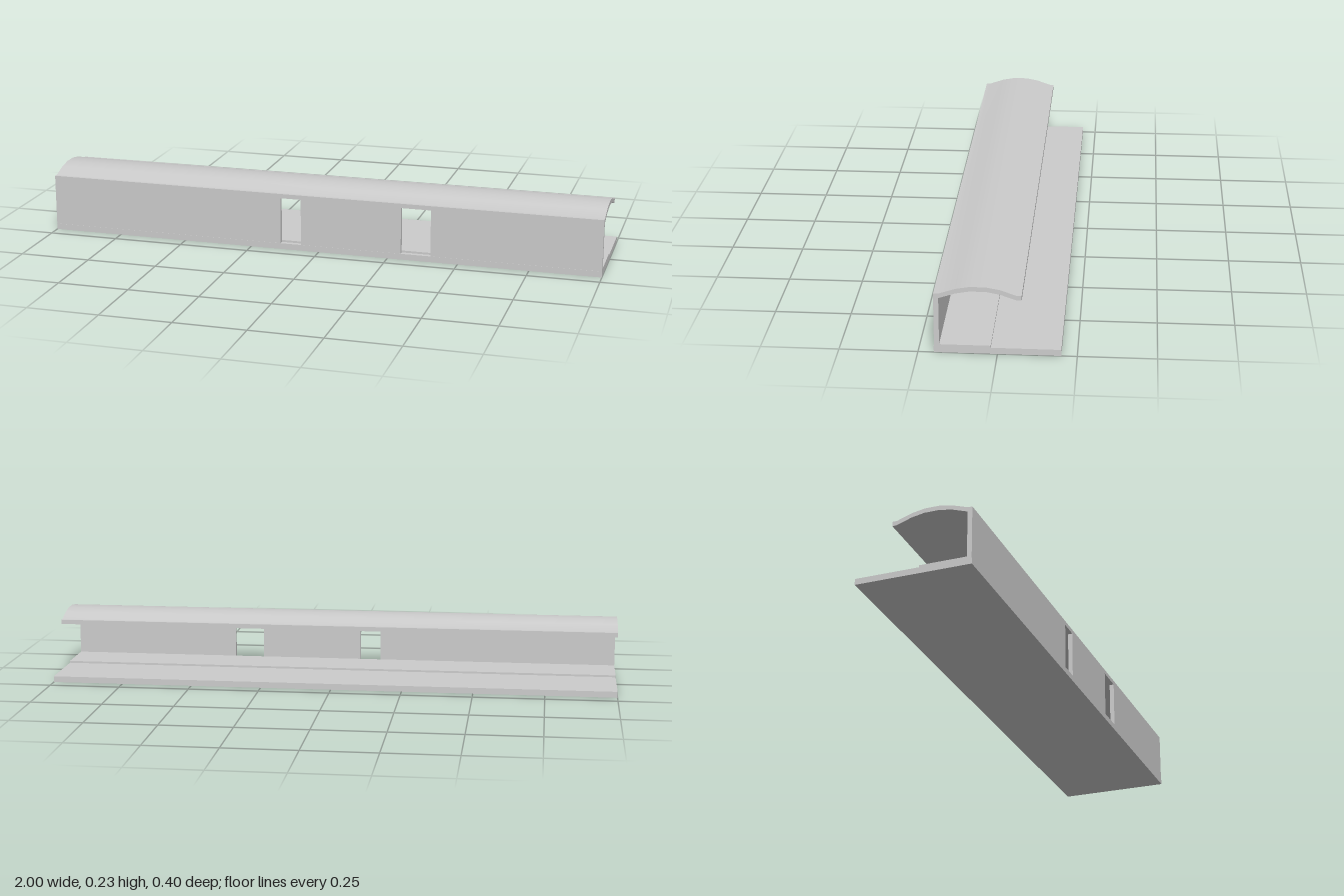
import * as THREE from 'three';
import { toCreasedNormals } from 'three/addons/utils/BufferGeometryUtils.js';

const LENGTH = 2;
const material = new THREE.MeshStandardMaterial({ color: 0xcccccc, side: THREE.DoubleSide });

// Box given by its min and max on each axis
function slab(name, [x0, x1], [y0, y1], [z0, z1]) {
  const mesh = new THREE.Mesh(new THREE.BoxGeometry(x1 - x0, y1 - y0, z1 - z0), material);
  mesh.position.set((x0 + x1) / 2, (y0 + y1) / 2, (z0 + z1) / 2);
  mesh.name = name;
  return mesh;
}

export function createModel() {
  const group = new THREE.Group();
  group.name = 'shelter';
  const half = LENGTH / 2;

  // Ground plate and the raised walkway behind the wall
  group.add(slab('basePlate', [-half, half], [0, 0.021], [-0.2, 0.2]));
  group.add(slab('walkway', [-half, half], [0.021, 0.028], [0.021, 0.183]));

  // Front wall in sections, leaving two full-height doorways
  const wall = new THREE.Group();
  wall.name = 'frontWall';
  [[-half, -0.14], [-0.065, 0.298], [0.404, half]].forEach((span, i) => {
    wall.add(slab(`wallSection${i + 1}`, span, [0.021, 0.191], [0.183, 0.199]));
  });
  group.add(wall);

  // Arched roof: cross-section in (z, y), extruded along x
  const top = [
    [0.199, 0.203], [0.184, 0.203], [0.13, 0.221], [0.086, 0.229],
    [0.035, 0.229], [-0.009, 0.221], [-0.061, 0.203], [-0.076, 0.203],
  ];
  const bottom = top.map(([z, y]) => [z, y - 0.0155]).reverse();
  const section = new THREE.Shape([...top, ...bottom].map(([z, y]) => new THREE.Vector2(z, y)));
  const roofGeometry = new THREE.ExtrudeGeometry(section, { depth: LENGTH, bevelEnabled: false });
  roofGeometry.rotateY(-Math.PI / 2).translate(half, 0, 0);
  const roof = new THREE.Mesh(toCreasedNormals(roofGeometry, 0.5), material);
  roof.name = 'archedRoof';
  group.add(roof);

  return group;
}
